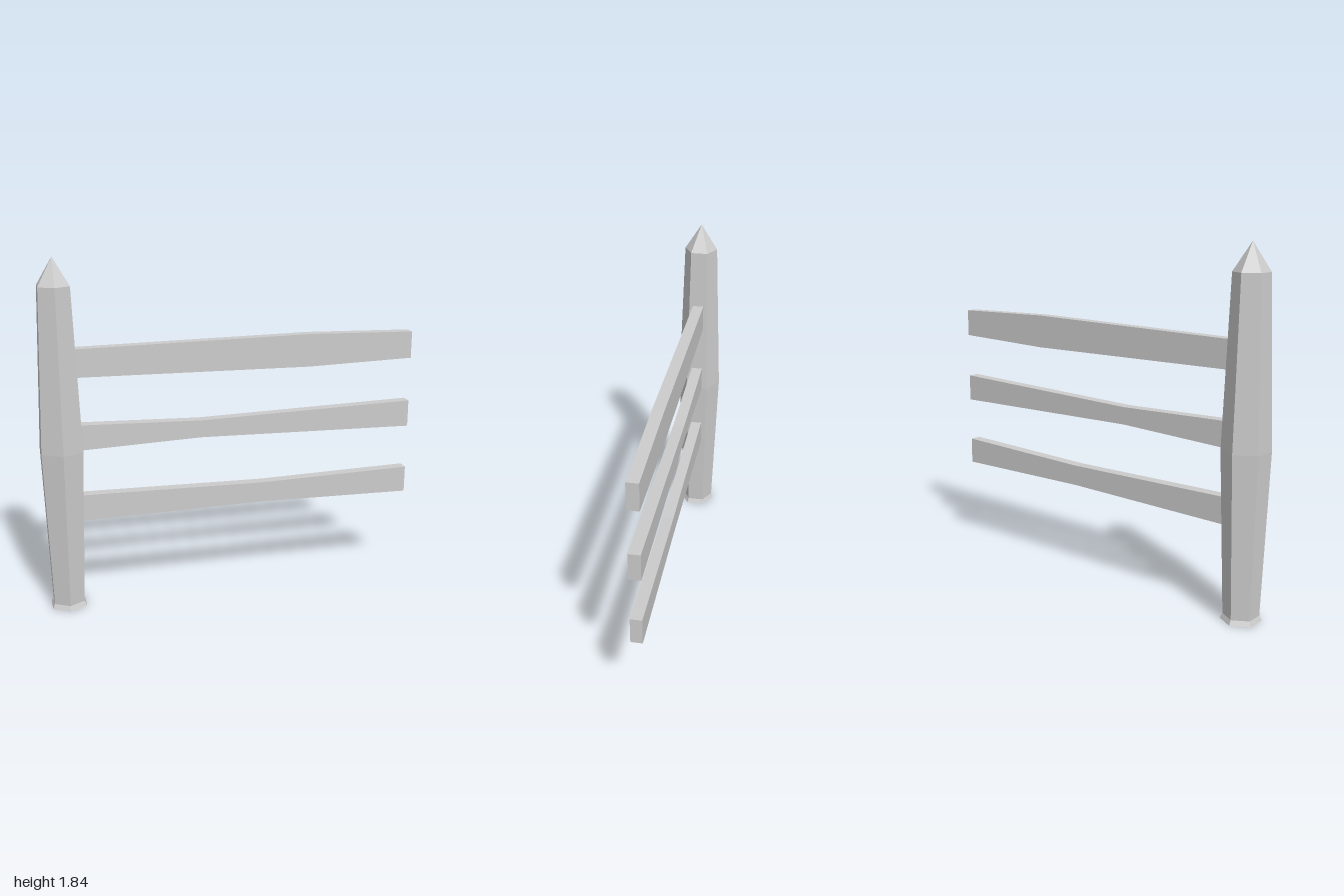
import * as THREE from 'three';

const material = new THREE.MeshStandardMaterial({ color: 0xcccccc, flatShading: true });
const POST_X = -0.895;
const RAIL_DEPTH = 0.06;

// Six-sided post: flared foot, swelling middle, pointed tip
function createPost() {
  const profile = [
    [0, 0], [0.103, 0], [0.09, 0.025], [0.121, 0.86], [0.09, 1.7], [0, 1.84],
  ].map(([r, y]) => new THREE.Vector2(r, y));
  const post = new THREE.Mesh(new THREE.LatheGeometry(profile, 6), material);
  post.name = 'post';
  post.position.x = POST_X;
  return post;
}

// Plank whose height changes along its length; sections are [x, bottom, top]
function createRail(name, sections) {
  const lower = sections.map(([x, y]) => new THREE.Vector2(x, y));
  const upper = sections.map(([x, , y]) => new THREE.Vector2(x, y)).reverse();
  const geometry = new THREE.ExtrudeGeometry(new THREE.Shape([...lower, ...upper]), {
    depth: RAIL_DEPTH,
    bevelEnabled: false,
  });
  geometry.translate(0, 0, -RAIL_DEPTH / 2);
  const rail = new THREE.Mesh(geometry, material);
  rail.name = name;
  return rail;
}

export function createModel() {
  const fence = new THREE.Group();
  fence.name = 'fence';
  fence.add(
    createPost(),
    createRail('topRail', [[-0.81, 1.24, 1.385], [0.42, 1.225, 1.4], [1, 1.24, 1.385]]),
    createRail('middleRail', [[-0.81, 0.858, 0.992], [-0.17, 0.88, 0.972], [1, 0.855, 1]]),
    createRail('bottomRail', [[-0.81, 0.475, 0.615], [0.17, 0.488, 0.598], [1, 0.472, 0.615]]),
  );
  return fence;
}
